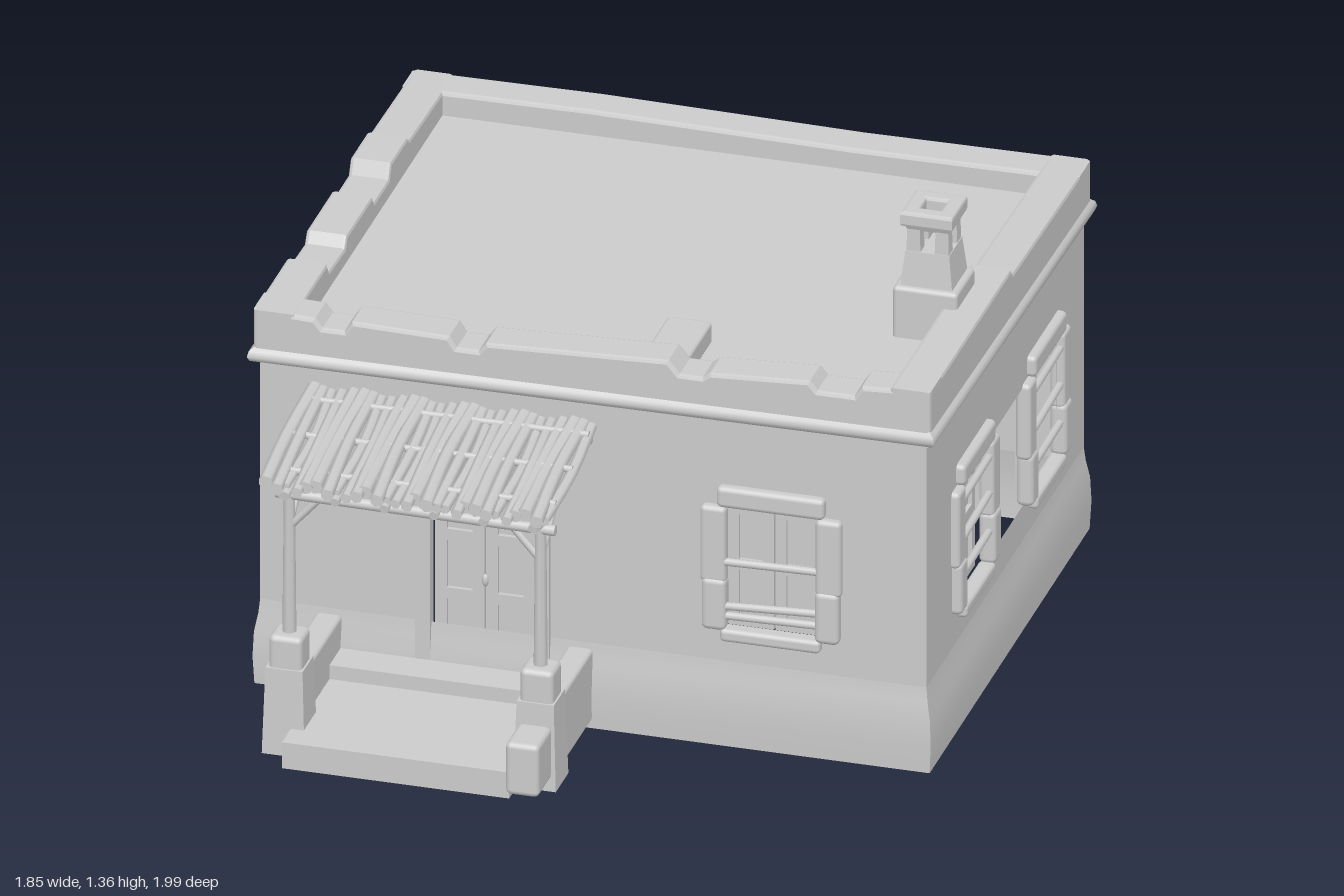
import * as THREE from 'three';
import { RoundedBoxGeometry } from 'three/addons/geometries/RoundedBoxGeometry.js';

const mat = new THREE.MeshStandardMaterial({ color: 0xcccccc, side: THREE.DoubleSide });
const HX = 0.895, HZ = 0.715, CZ = -0.25; // wall half extents and house centre

function add(parent, name, geometry, x = 0, y = 0, z = 0) {
  const m = new THREE.Mesh(geometry, mat);
  m.name = name;
  m.position.set(x, y, z);
  parent.add(m);
  return m;
}
function group(parent, name, x = 0, y = 0, z = 0) {
  const g = new THREE.Group();
  g.name = name;
  g.position.set(x, y, z);
  parent.add(g);
  return g;
}
// Box given by its min/max corners, optionally rounded
function block(parent, name, [x0, x1], [y0, y1], [z0, z1], r = 0) {
  const s = [x1 - x0, y1 - y0, z1 - z0];
  const g = r ? new RoundedBoxGeometry(...s, 2, r) : new THREE.BoxGeometry(...s);
  return add(parent, name, g, (x0 + x1) / 2, (y0 + y1) / 2, (z0 + z1) / 2);
}
// Round pole between two points
function pole(parent, name, a, b, r0, r1 = r0, sides = 8) {
  const A = new THREE.Vector3(...a), B = new THREE.Vector3(...b), d = B.clone().sub(A);
  const m = add(parent, name, new THREE.CylinderGeometry(r1, r0, d.length(), sides));
  m.position.copy(A).add(B).multiplyScalar(0.5);
  m.quaternion.setFromUnitVectors(new THREE.Vector3(0, 1, 0), d.normalize());
  return m;
}
// Four-sided tapered shaft, widths at bottom and top
function shaft(parent, name, w0, w1, y0, y1, x = 0, z = 0) {
  const g = new THREE.CylinderGeometry(w1 * Math.SQRT1_2, w0 * Math.SQRT1_2, y1 - y0, 4).toNonIndexed();
  g.rotateY(Math.PI / 4);
  g.computeVertexNormals();
  return add(parent, name, g, x, (y0 + y1) / 2, z);
}
function rect(path, x0, x1, y0, y1) {
  path.moveTo(x0, y0); path.lineTo(x1, y0); path.lineTo(x1, y1); path.lineTo(x0, y1); path.closePath();
  return path;
}
// Moulding swept round the house: profile of [outset, y], with a height offset per corner
function moulding(parent, name, profile, lift = [0, 0, 0, 0]) {
  const corners = [[-1, 1], [1, 1], [1, -1], [-1, -1]], pos = [], idx = [];
  for (let s = 0; s < 4; s++) {
    const base = pos.length / 3;
    profile.forEach(([o, y], j) => {
      for (const k of [s, (s + 1) % 4])
        pos.push(corners[k][0] * (HX + o), y + lift[k], CZ + corners[k][1] * (HZ + o));
      if (j) {
        const a = base + 2 * j - 2;
        idx.push(a, a + 1, a + 3, a, a + 3, a + 2);
      }
    });
  }
  const g = new THREE.BufferGeometry();
  g.setAttribute('position', new THREE.Float32BufferAttribute(pos, 3));
  g.setIndex(idx);
  g.computeVertexNormals();
  add(parent, name, g);
}

// Glazed leaf with a frame and stacked panes
function leaf(parent, name, w, h, rows, x, y, z) {
  const g = group(parent, name, x, y, z), s = rect(new THREE.Shape(), -w / 2, w / 2, 0, h);
  const b = w * 0.24, step = (h - b) / rows;
  for (let i = 0; i < rows; i++)
    s.holes.push(rect(new THREE.Path(), -w / 2 + b, w / 2 - b, b + i * step, (i + 1) * step));
  add(g, 'leafFrame', new THREE.ExtrudeGeometry(s, { depth: 0.02, bevelEnabled: false }));
  block(g, 'pane', [-w / 2 + 0.005, w / 2 - 0.005], [0.01, h - 0.01], [0.004, 0.009]);
  return g;
}
// Stone surround with iron bars; leaves is a list of horizontal offsets
function makeWindow(parent, u, leaves, bars) {
  const g = group(parent, 'window', u, 0, 0);
  block(g, 'lintel', [-0.145, 0.145], [0.69, 0.75], [-0.02, 0.024], 0.014);
  block(g, 'sill', [-0.135, 0.135], [0.305, 0.342], [-0.02, 0.026], 0.012);
  for (const s of [-1, 1]) {
    block(g, 'jamb', [s * 0.155 - 0.035, s * 0.155 + 0.035], [0.47, 0.69], [-0.02, 0.022], 0.014);
    block(g, 'jambFoot', [s * 0.152 - 0.033, s * 0.152 + 0.033], [0.335, 0.485], [-0.02, 0.027], 0.016);
  }
  bars.forEach((y, i) => pole(g, 'bar', [-0.14, y - 0.008 * (i % 2), 0.008], [0.14, y + 0.006, 0.008], 0.011));
  for (const x of leaves) leaf(g, 'windowLeaf', 0.125, 0.35, 2, x, 0.335, -0.045);
}

// One side: wall with openings [u0,u1,y0,y1] and a parapet with a worn top line
function makeSide(parent, name, half, x, z, turn, openings, top) {
  const g = group(parent, name, x, 0, z);
  g.rotation.y = turn;
  const wall = rect(new THREE.Shape(), -half, half, 0.2, 0.95);
  for (const o of openings) wall.holes.push(rect(new THREE.Path(), ...o));
  add(g, 'wall', new THREE.ShapeGeometry(wall));
  const e = half + 0.005, p = new THREE.Shape();
  p.moveTo(-e, 0.95);
  for (const [u, y] of top) p.lineTo(Math.max(-e, Math.min(e, u)), y - 0.01);
  p.lineTo(e, 0.95);
  const geo = new THREE.ExtrudeGeometry(p, { depth: 0.09, bevelThickness: 0.01, bevelSize: 0.01, bevelSegments: 2 });
  add(g, 'parapet', geo, 0, 0, -0.085);
  return g;
}

function makeChimney(parent) {
  const g = group(parent, 'chimney', 0.755, 0, -0.075);
  block(g, 'chimneyBase', [-0.087, 0.087], [0.98, 1.145], [-0.085, 0.085], 0.012);
  shaft(g, 'chimneyShaft', 0.14, 0.118, 1.14, 1.24);
  for (const x of [-1, 1]) for (const z of [-1, 1])
    shaft(g, 'chimneyCorner', 0.038, 0.034, 1.235, 1.305, x * 0.038, z * 0.038);
  shaft(g, 'chimneyNeck', 0.108, 0.125, 1.3, 1.318);
  const cap = rect(new THREE.Shape(), -0.062, 0.062, -0.062, 0.062);
  cap.holes.push(rect(new THREE.Path(), -0.036, 0.036, -0.036, 0.036));
  const geo = new THREE.ExtrudeGeometry(cap, { depth: 0.026, bevelThickness: 0.008, bevelSize: 0.008, bevelSegments: 2 });
  geo.rotateX(-Math.PI / 2);
  add(g, 'chimneyCap', geo, 0, 1.321, 0);
}

function makePorch(parent) {
  const g = group(parent, 'porch');
  block(g, 'porchFloor', [-0.69, -0.08], [0.02, 0.095], [0.46, 0.96]);
  block(g, 'doorStep', [-0.68, -0.09], [0.09, 0.135], [0.46, 0.58]);
  block(g, 'cornerBlock', [-0.08, 0.01], [0.05, 0.2], [0.87, 1.0], 0.015);
  for (const [x, s] of [[-0.71, -1], [-0.035, 1]]) {
    block(g, 'sideWall', [x - 0.035, x + 0.035], [0.02, 0.225], [0.46, 0.8], 0.012);
    shaft(g, 'pierFoot', 0.115, 0.1, 0.015, 0.26, x, 0.825);
    block(g, 'pierTop', [x - 0.045, x + 0.045], [0.24, 0.35], [0.78, 0.87], 0.016);
    pole(g, 'post', [x, 0.34, 0.825], [x, 0.76, 0.825], 0.019, 0.015);
    pole(g, 'sideBrace', [x, 0.66, 0.825], [x, 0.765, 0.69], 0.011);
    pole(g, 'frontBrace', [x, 0.65, 0.825], [x - s * 0.075, 0.735, 0.825], 0.01);
    pole(g, 'sideBeam', [x, 0.765, 0.88], [x, 0.79, 0.45], 0.014);
  }
  pole(g, 'frontBeam', [-0.745, 0.745, 0.825], [0.005, 0.74, 0.825], 0.015);
  pole(g, 'wallBeam', [-0.75, 0.835, 0.48], [0, 0.835, 0.48], 0.014);
  for (let i = 0; i < 6; i++) {
    const x = -0.7 + i * 0.133;
    pole(g, 'rafter', [x, 0.775, 0.9], [x, 0.835, 0.46], 0.013);
  }
  // Uneven reed roof
  for (let i = 0; i < 29; i++) {
    const x = -0.752 + i * 0.0268, w = Math.sin(i * 2.4), v = Math.sin(i * 5.1 + 1);
    const p = [[x + 0.008 * w, 0.8 + 0.008 * v, 0.898 + 0.016 * w], [x - 0.008 * v, 0.835 + 0.006 * w, 0.68],
      [x + 0.005 * v, 0.868 + 0.005 * v, 0.465]].map(q => new THREE.Vector3(...q));
    add(g, 'reed', new THREE.TubeGeometry(new THREE.CatmullRomCurve3(p), 6, 0.017 + 0.003 * v, 7));
    const end = add(g, 'reedEnd', new THREE.CircleGeometry(0.017 + 0.003 * v, 7));
    end.position.copy(p[0]);
  }
  for (let i = 0; i < 3; i++)
    pole(g, 'reedBatten', [-0.76, 0.81 + i * 0.027, 0.82 - i * 0.15], [0.005, 0.815 + i * 0.027, 0.82 - i * 0.15], 0.01);
}

function makeDoor(front) {
  const g = group(front, 'door');
  block(g, 'doorLintel', [-0.475, -0.115], [0.675, 0.72], [-0.02, 0.014]);
  for (const x of [-0.475, -0.155]) block(g, 'doorJamb', [x, x + 0.04], [0.135, 0.68], [-0.02, 0.014]);
  for (const x of [-0.362, -0.225]) leaf(g, 'doorLeaf', 0.133, 0.54, 3, x, 0.138, -0.03);
  const knob = add(g, 'doorHandle', new THREE.SphereGeometry(0.009, 8, 6), -0.29, 0.38, 0.0);
  knob.scale.y = 2;
}

export function createModel() {
  const house = new THREE.Group();
  house.name = 'house';
  const Q = Math.PI / 2, bars = [0.64, 0.535, 0.425];

  const front = makeSide(house, 'frontSide', HX, 0, CZ + HZ, 0,
    [[-0.435, -0.155, 0.21, 0.68], [0.35, 0.61, 0.34, 0.69]],
    [[-0.9, 1.08], [-0.75, 1.075], [-0.73, 1.05], [-0.66, 1.05], [-0.64, 1.08], [-0.39, 1.075], [-0.37, 1.045],
      [-0.3, 1.045], [-0.28, 1.07], [0.2, 1.09], [0.23, 1.055], [0.3, 1.055], [0.32, 1.07], [0.58, 1.085],
      [0.6, 1.06], [0.71, 1.06], [0.73, 1.09], [0.9, 1.1]]);
  makeWindow(front, 0.48, [-0.064, 0.064], [0.53, 0.41, 0.375]);
  makeDoor(front);

  const right = makeSide(house, 'leftSide', HZ, HX, CZ, Q, [[-0.41, 0.46, 0.34, 0.68]],
    [[-0.72, 1.1], [0, 1.1], [0.02, 1.08], [0.72, 1.065]]);
  makeWindow(right, -0.3, [0.05], bars);
  makeWindow(right, 0.345, [-0.04], bars);

  const back = makeSide(house, 'backSide', HX, 0, CZ - HZ, 2 * Q, [[-0.58, 0.64, 0.34, 0.68]],
    [[-0.9, 1.065], [-0.3, 1.06], [0.4, 1.07], [0.9, 1.065]]);
  makeWindow(back, -0.48, [0.05], bars);
  makeWindow(back, 0.53, [-0.05], bars);

  const left = makeSide(house, 'rightSide', HZ, -HX, CZ, -Q, [[-0.13, 0.13, 0.34, 0.69]],
    [[-0.72, 1.065], [-0.32, 1.075], [-0.3, 1.09], [-0.16, 1.09], [-0.14, 1.05], [0, 1.05], [0.02, 1.075],
      [0.24, 1.075], [0.26, 1.045], [0.41, 1.05], [0.43, 1.08], [0.72, 1.08]]);
  makeWindow(left, 0, [-0.064, 0.064], bars);

  // Swollen plinth and sagging cornice
  moulding(house, 'plinth', [[0.012, 0], [0.016, 0.08], [0.013, 0.15], [0.004, 0.2], [0, 0.24]]);
  moulding(house, 'cornice', [[0, 0.925], [0.022, 0.932], [0.028, 0.945], [0.024, 0.96], [0.01, 0.972]],
    [0.002, 0.015, -0.018, -0.018]);

  block(house, 'flatRoof', [-0.83, 0.83], [0.985, 1.0], [-0.91, 0.4]);
  block(house, 'roofVent', [0.11, 0.23], [0.99, 1.055], [0.16, 0.4], 0.01);
  makeChimney(house);
  makePorch(house);
  return house;
}
